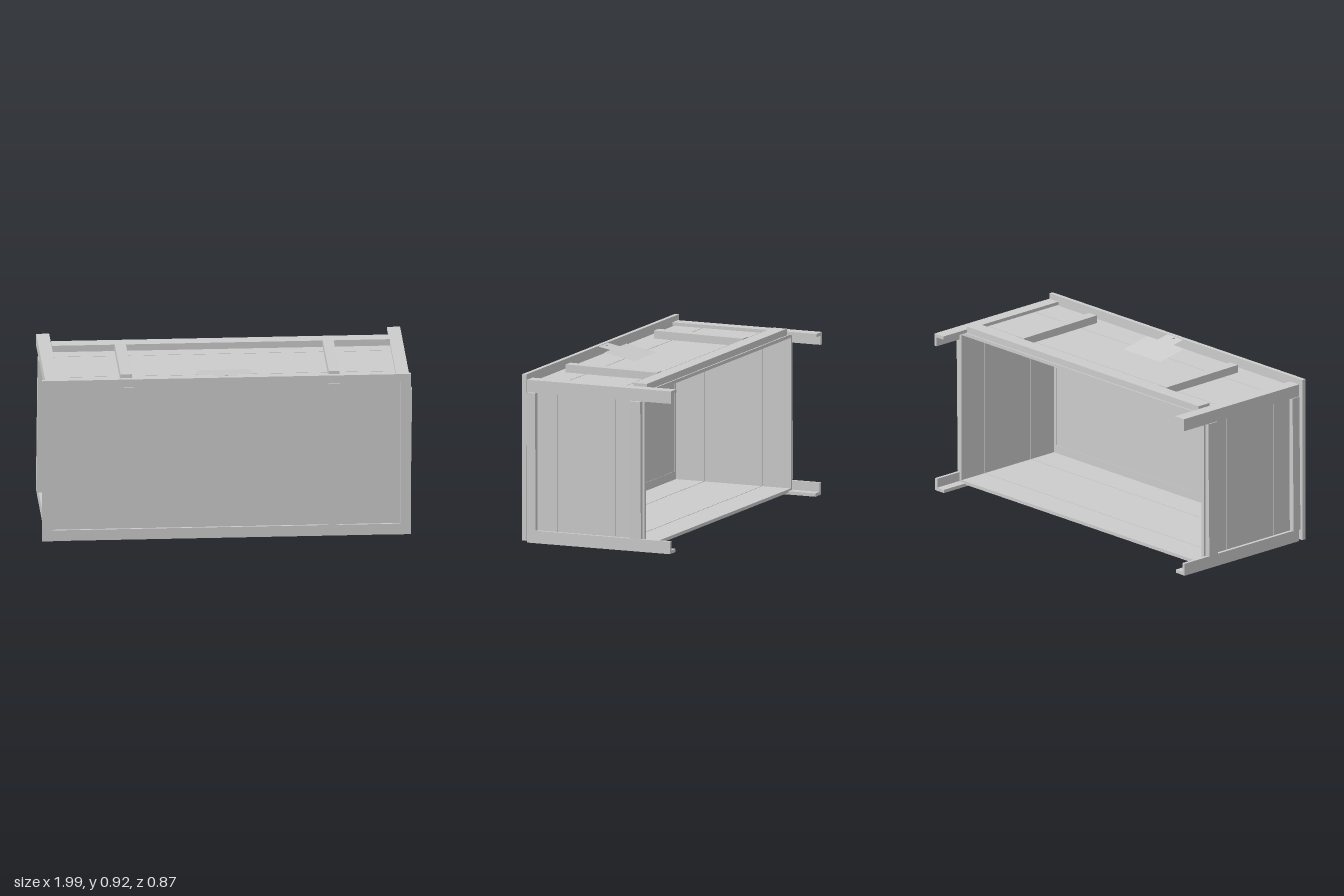
import * as THREE from 'three';

const grey = new THREE.MeshStandardMaterial({ color: 0xcccccc, side: THREE.DoubleSide, flatShading: true });

// Box given by its min and max on each axis
function slab(parent, name, [x0, x1], [y0, y1], [z0, z1]) {
  const mesh = new THREE.Mesh(new THREE.BoxGeometry(x1 - x0, y1 - y0, z1 - z0), grey);
  mesh.position.set((x0 + x1) / 2, (y0 + y1) / 2, (z0 + z1) / 2);
  mesh.name = name;
  parent.add(mesh);
  return mesh;
}

function rectPath(path, x0, x1, y0, y1) {
  path.moveTo(x0, y0);
  path.lineTo(x1, y0);
  path.lineTo(x1, y1);
  path.lineTo(x0, y1);
  path.closePath();
  return path;
}

function group(parent, name) {
  const g = new THREE.Group();
  g.name = name;
  parent.add(g);
  return g;
}

export function createModel() {
  const model = new THREE.Group();
  model.name = 'crate';

  // Plank ranges along z, with narrow gaps between the boards
  const planks = [[0.242, 0.408], [-0.099, 0.238], [-0.27, -0.103]];

  // Floor, ceiling and the two sides
  const body = group(model, 'body');
  for (const z of planks) {
    slab(body, 'floorPlank', [-0.955, 0.955], [0.01, 0.028], z);
    slab(body, 'ceilingPlank', [-0.955, 0.955], [0.85, 0.868], z);
    for (const s of [-1, 1]) {
      const x = [0.94, 0.958].map((v) => v * s).sort((a, b) => a - b);
      slab(body, 'sidePlank', x, [0.028, 0.85], z);
    }
  }

  // Framed front panel with two upright battens
  const front = group(model, 'frontPanel');
  const outline = rectPath(new THREE.Shape(), -1, 0.982, 0.01, 0.917);
  outline.holes.push(rectPath(new THREE.Path(), -0.945, 0.925, 0.07, 0.875));
  const frame = new THREE.Mesh(
    new THREE.ExtrudeGeometry(outline, { depth: 0.024, bevelEnabled: false }), grey);
  frame.position.z = 0.415;
  frame.name = 'frontFrame';
  front.add(frame);
  slab(front, 'frontBoard', [-0.96, 0.94], [0.05, 0.89], [0.417, 0.427]);
  slab(front, 'frontBatten', [-0.56, -0.5], [0.075, 0.872], [0.427, 0.437]);
  slab(front, 'frontBatten', [0.54, 0.602], [0.07, 0.867], [0.427, 0.437]);

  // Angle-section corner runners that reach out behind the open back
  const t = 0.018;
  for (const s of [-1, 1]) {
    for (const top of [false, true]) {
      const leg = group(model, (top ? 'upper' : 'lower') + (s > 0 ? 'Left' : 'Right') + 'Runner');
      const [outer, inner] = [0.978 * s, 0.908 * s];
      const yOut = top ? 0.888 : 0;
      const yIn = top ? 0.82 : 0.068;
      const dir = top ? -1 : 1;
      const shape = new THREE.Shape([
        [outer, yOut], [inner, yOut], [inner, yOut + dir * t],
        [outer - s * t, yOut + dir * t], [outer - s * t, yIn], [outer, yIn],
      ].map(([x, y]) => new THREE.Vector2(x, y)));
      const back = top ? -0.435 : -0.43;
      const mesh = new THREE.Mesh(
        new THREE.ExtrudeGeometry(shape, { depth: 0.412 - back, bevelEnabled: false }), grey);
      mesh.position.z = back;
      mesh.name = 'angleRail';
      leg.add(mesh);
    }
  }

  // Upright battens on the sides, leaning very slightly
  for (const s of [-1, 1]) {
    for (const [z0, z1] of [[0.36, 0.41], [-0.26, -0.196]]) {
      const x = [0.956, 0.986].map((v) => v * s).sort((a, b) => a - b);
      const batten = slab(model, 'sideBatten', x, [0.069, 0.819], [z0, z1]);
      batten.rotation.z = -0.012;
    }
  }

  // Rail along the rear edge and two cross battens on top
  slab(model, 'topRail', [-0.908, 0.908], [0.868, 0.904], [-0.262, -0.183]);
  for (const [x0, x1, z1] of [[-0.572, -0.512, 0.342], [0.546, 0.604, 0.355]]) {
    slab(model, 'topBatten', [x0, x1], [0.868, 0.911], [-0.181, z1]).rotation.x = -0.01;
  }

  // Sloping latch plate with its tab and pin
  const latch = group(model, 'latch');
  const plate = new THREE.Shape([
    [-0.155, 0], [0.135, 0], [0.135, -0.18], [0.055, -0.18],
    [0.055, -0.252], [-0.07, -0.252], [-0.07, -0.18], [-0.155, -0.18],
  ].map(([x, y]) => new THREE.Vector2(x, y)));
  const plateGeometry = new THREE.ShapeGeometry(plate);
  plateGeometry.rotateX(-Math.PI / 2);
  const plateMesh = new THREE.Mesh(plateGeometry, grey);
  plateMesh.name = 'latchPlate';
  latch.add(plateMesh);
  const pin = new THREE.Mesh(new THREE.CylinderGeometry(0.009, 0.009, 0.006, 12), grey);
  pin.position.set(-0.01, 0.002, 0.235);
  pin.name = 'latchPin';
  latch.add(pin);
  latch.position.set(0, 0.868, 0.165);
  latch.rotation.x = -0.19;

  return model;
}
